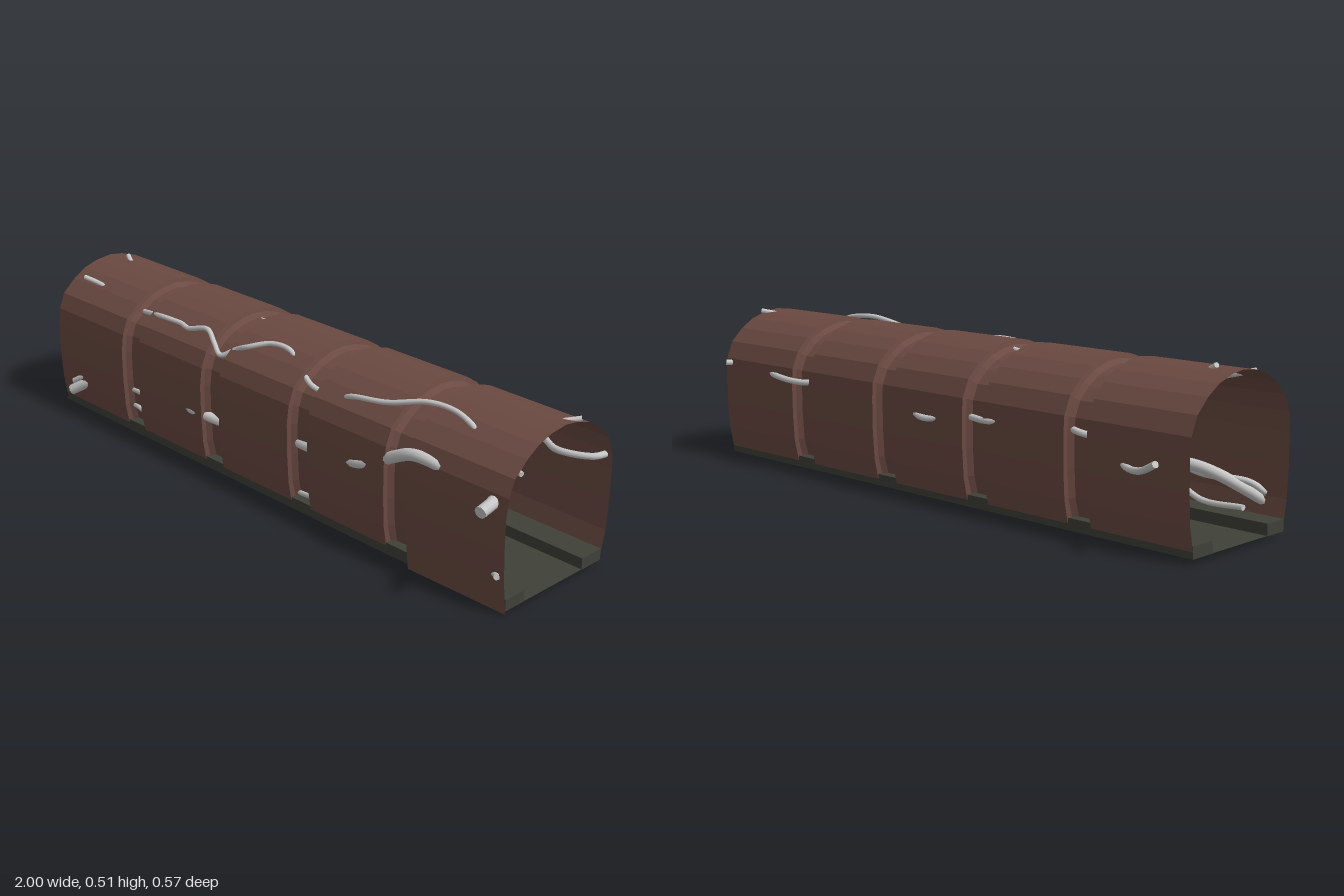
import * as THREE from 'three';

const wallMat = new THREE.MeshStandardMaterial({ name: 'rustBrown', color: 0x6b4a42, flatShading: true, side: THREE.DoubleSide });
const floorMat = new THREE.MeshStandardMaterial({ name: 'darkFloor', color: 0x3f4038, flatShading: true, side: THREE.DoubleSide });
const cableMat = new THREE.MeshStandardMaterial({ name: 'paleGrey', color: 0xc8c8c8 });

// Arch cross-section as [z, y], front foot over the crown to the back foot
const ARCH = [
  [0.212, 0.04], [0.224, 0.11], [0.229, 0.2], [0.23, 0.3], [0.222, 0.36], [0.202, 0.41],
  [0.155, 0.452], [0.11, 0.48], [0.06, 0.496], [0, 0.503], [-0.05, 0.496], [-0.108, 0.477],
  [-0.155, 0.447], [-0.198, 0.405], [-0.222, 0.35], [-0.225, 0.3], [-0.224, 0.2], [-0.218, 0.11], [-0.203, 0.04],
];

// Arch moved inward by d along its normals
function insetArch(d) {
  return ARCH.map(([z, y], i) => {
    const a = ARCH[Math.max(i - 1, 0)], b = ARCH[Math.min(i + 1, ARCH.length - 1)];
    const dz = b[0] - a[0], dy = b[1] - a[1], l = Math.hypot(dz, dy);
    const p = [z - (dy / l) * d, y + (dz / l) * d];
    if (d > 0) p[1] = Math.max(p[1], 0.058);
    return p;
  });
}

// Shell lofted through arches at the given [x, inset, front foot drop] stations
function makeShell() {
  const stations = [[-1, 0, 0]];
  for (const c of [-0.605, -0.205, 0.193, 0.59]) {
    const drop = c > 0.5 ? 0.035 : 0;
    stations.push([c - 0.043, 0, 0], [c - 0.04, 0.014, 0], [c - 0.026, 0.028, 0],
      [c + 0.026, 0.028, 0], [c + 0.04, 0.014, 0], [c + 0.043, 0, drop]);
  }
  stations.push([0.99, 0, 0.03]);
  const pos = [], idx = [], n = ARCH.length;
  stations.forEach(([x, d, drop], s) => {
    insetArch(d).forEach(([z, y], i) => pos.push(x, i === 0 ? y - drop : y, z));
    if (s === 0) return;
    for (let i = 0; i < n - 1; i++) {
      const a = (s - 1) * n + i, b = s * n + i;
      idx.push(a, b, b + 1, a, b + 1, a + 1);
    }
  });
  const g = new THREE.BufferGeometry();
  g.setAttribute('position', new THREE.Float32BufferAttribute(pos, 3));
  g.setIndex(idx);
  const flat = g.toNonIndexed();
  flat.computeVertexNormals();
  return flat;
}

// Capped cable through a few points
function makeCable(name, r, points) {
  const group = new THREE.Group();
  group.name = name;
  const v = points.map(p => new THREE.Vector3(...p));
  const curve = new THREE.CatmullRomCurve3(v);
  const add = (geo) => {
    const m = new THREE.Mesh(geo, cableMat);
    m.name = name + 'Part';
    group.add(m);
    return m;
  };
  add(new THREE.TubeGeometry(curve, points.length * 10, r, 10));
  for (const t of [0, 1]) {
    const cap = add(new THREE.CircleGeometry(r, 10));
    const dir = curve.getTangentAt(t).multiplyScalar(t ? 1 : -1);
    cap.position.copy(curve.getPointAt(t));
    cap.quaternion.setFromUnitVectors(new THREE.Vector3(0, 0, 1), dir);
  }
  return group;
}

export function createModel() {
  const model = new THREE.Group();
  model.name = 'tunnel';
  const add = (name, geo, mat, x, y, z) => {
    const m = new THREE.Mesh(geo, mat);
    m.name = name;
    m.position.set(x, y, z);
    model.add(m);
    return m;
  };

  add('archShell', makeShell(), wallMat, 0, 0, 0);

  // Floor sheet with a raised kerb along each side
  add('floor', new THREE.PlaneGeometry(1.99, 0.414).rotateX(-Math.PI / 2), floorMat, -0.005, 0.021, 0.005);
  add('frontKerb', new THREE.BoxGeometry(1.99, 0.036, 0.078), floorMat, -0.005, 0.038, 0.174);
  add('backKerb', new THREE.BoxGeometry(1.99, 0.036, 0.085), floorMat, -0.005, 0.038, -0.1605);

  // Loose cables weaving in and out of the shell
  model.add(makeCable('crownCable', 0.008, [
    [-0.93, 0.51, -0.025], [-0.88, 0.485, -0.01], [-0.7, 0.44, 0.03], [-0.45, 0.43, -0.015], [-0.2, 0.47, -0.01],
    [-0.02, 0.49, -0.02], [0.2, 0.44, 0.03], [0.5, 0.42, 0], [0.8, 0.45, 0.03], [0.93, 0.485, -0.02], [0.99, 0.5, -0.068],
  ]));
  model.add(makeCable('shoulderCable', 0.008, [
    [-0.93, 0.475, 0.16], [-0.87, 0.46, 0.14], [-0.7, 0.42, 0.13], [-0.5, 0.448, 0.165], [-0.42, 0.447, 0.16],
    [-0.37, 0.446, 0.17], [-0.28, 0.465, 0.165], [-0.24, 0.435, 0.175], [-0.2, 0.408, 0.185], [-0.15, 0.435, 0.165],
    [-0.1, 0.457, 0.162], [-0.03, 0.478, 0.125], [0.04, 0.477, 0.117], [0.1, 0.45, 0.13], [0.19, 0.42, 0.166],
    [0.29, 0.41, 0.16], [0.37, 0.443, 0.176], [0.5, 0.463, 0.168], [0.62, 0.492, 0.135], [0.7, 0.49, 0.12],
    [0.77, 0.472, 0.125], [0.85, 0.42, 0.13], [0.97, 0.4, 0.15],
  ]));
  model.add(makeCable('frontCable', 0.018, [
    [-0.93, 0.085, 0.24], [-0.88, 0.115, 0.215], [-0.75, 0.17, 0.17], [-0.5, 0.18, 0.16], [-0.3, 0.2, 0.213],
    [-0.1, 0.18, 0.16], [0.05, 0.24, 0.17], [0.19, 0.236, 0.193], [0.3, 0.25, 0.19], [0.44, 0.272, 0.218],
    [0.51, 0.3, 0.205], [0.57, 0.335, 0.215], [0.64, 0.366, 0.217], [0.71, 0.367, 0.212], [0.8, 0.34, 0.19],
    [0.9, 0.32, 0.19], [0.94, 0.335, 0.225], [0.945, 0.325, 0.282],
  ]));
  model.add(makeCable('lowCable', 0.01, [
    [-0.93, 0.115, 0.23], [-0.88, 0.142, 0.215], [-0.75, 0.15, 0.18], [-0.63, 0.163, 0.195], [-0.57, 0.16, 0.195],
    [-0.45, 0.09, 0.16], [-0.1, 0.08, 0.175], [0.2, 0.07, 0.185], [0.5, 0.14, 0.17], [0.8, 0.09, 0.18],
    [0.95, 0.123, 0.216], [0.97, 0.125, 0.23],
  ]));
  model.add(makeCable('kerbCable', 0.009, [
    [-0.9, 0.08, 0.16], [-0.75, 0.075, 0.17], [-0.63, 0.107, 0.193], [-0.57, 0.098, 0.195], [-0.45, 0.08, 0.16],
  ]));
  model.add(makeCable('backCable', 0.01, [
    [-0.93, 0.277, -0.28], [-0.86, 0.245, -0.255], [-0.78, 0.24, -0.22], [-0.68, 0.29, -0.18], [-0.6, 0.305, -0.2],
    [-0.45, 0.32, -0.16], [-0.27, 0.295, -0.22], [-0.13, 0.29, -0.19], [0, 0.27, -0.225], [0.15, 0.3, -0.18],
    [0.4, 0.32, -0.15], [0.6, 0.31, -0.222], [0.74, 0.32, -0.218], [0.85, 0.33, -0.16], [0.95, 0.335, -0.19], [0.97, 0.338, -0.24],
  ]));
  return model;
}
